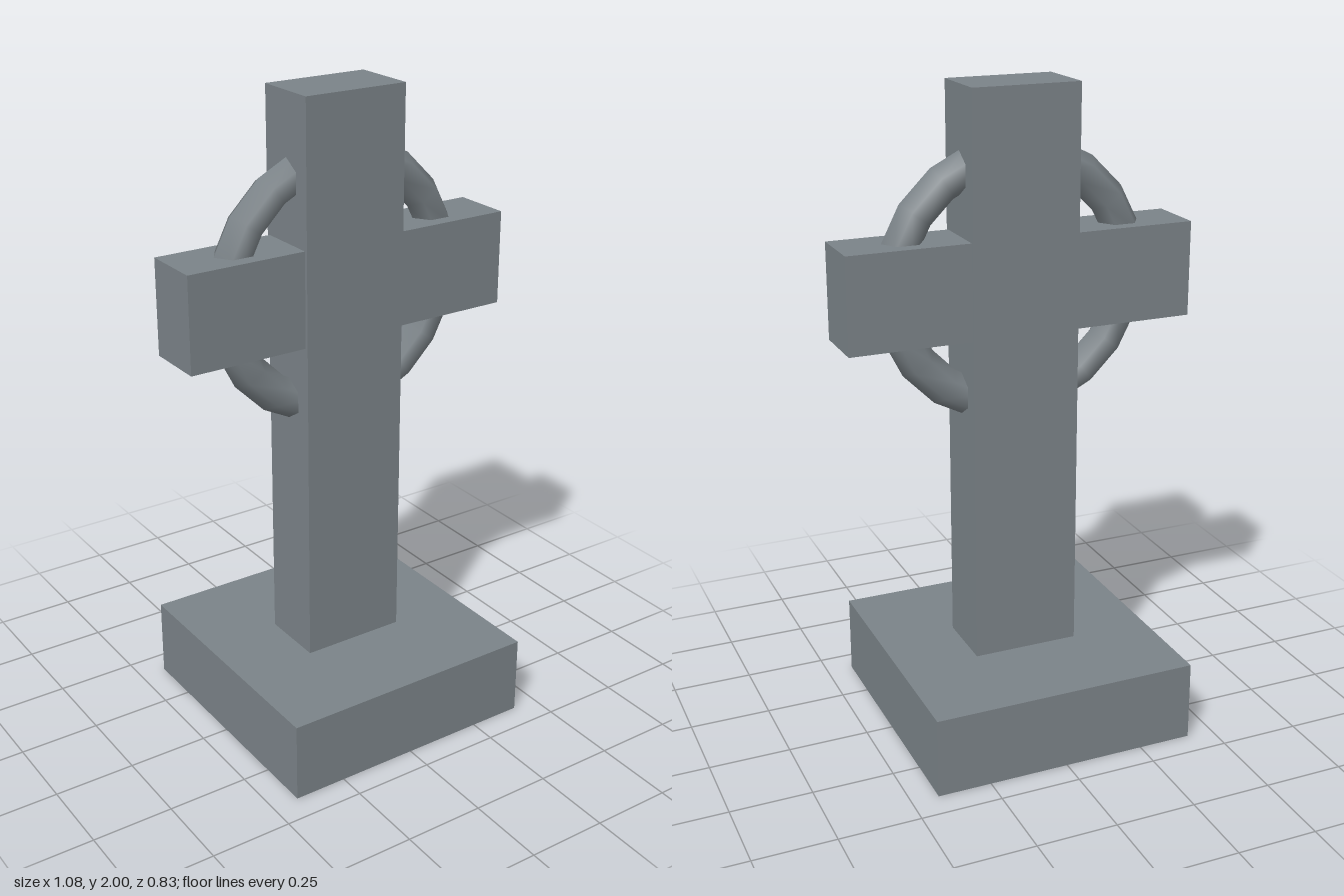
import * as THREE from 'three';

export function createModel() {
  const group = new THREE.Group();
  const stone = new THREE.MeshStandardMaterial({ color: 0x7b8388 });
  stone.name = 'greyStone';

  function add(name, geometry, y) {
    const mesh = new THREE.Mesh(geometry, stone);
    mesh.name = name;
    mesh.position.y = y;
    group.add(mesh);
  }

  const armY = 1.417;

  // square plinth and upright post
  add('base', new THREE.BoxGeometry(0.833, 0.25, 0.833), 0.125);
  add('post', new THREE.BoxGeometry(0.333, 1.75, 0.208), 1.125);

  // crossbar, slightly thinner than the post
  add('crossbar', new THREE.BoxGeometry(1.083, 0.292, 0.1875), armY);

  // six-sided ring around the crossing
  add('ring', new THREE.TorusGeometry(0.375, 0.0583, 6, 20), armY);

  return group;
}
